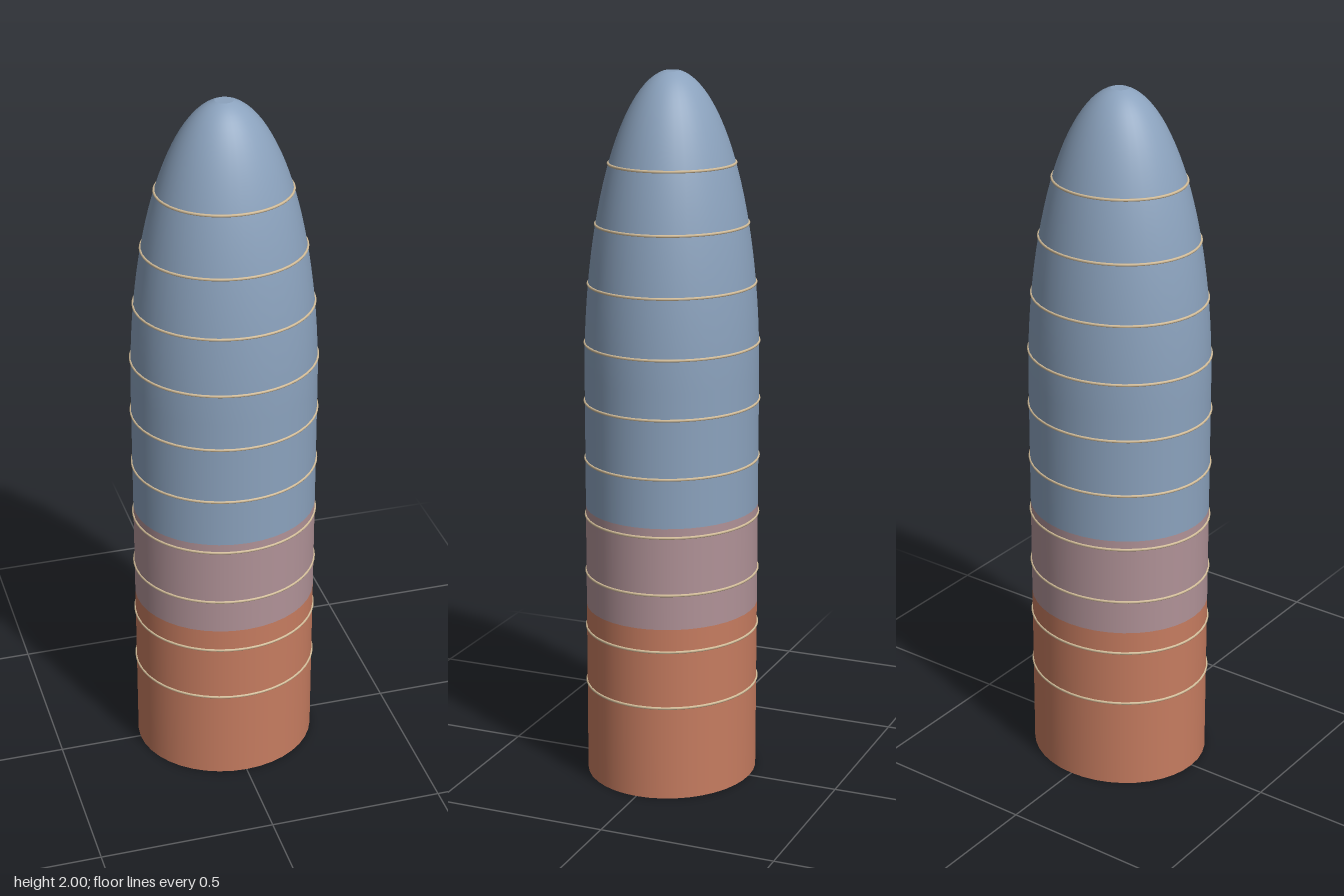
import * as THREE from 'three';

const RADIUS = 0.26;       // half width of the shaft in x
const DEPTH = 0.922;       // z is slightly squashed
const SHOULDER = 1.17;     // height where the nose starts to curve
const NOSE = 0.834;        // height of the full nose ellipse
const SEGMENTS = 40;

// Shell radius at a given height: straight shaft, then an elliptical nose
function radiusAt(y) {
  const t = Math.max(0, (y - SHOULDER) / NOSE);
  return RADIUS * Math.sqrt(Math.max(0, 1 - t * t));
}

export function createModel() {
  const group = new THREE.Group();
  const paint = (name, color) =>
    new THREE.MeshStandardMaterial({ name, color, side: THREE.DoubleSide });
  const terracotta = paint('terracotta', 0xc67c60);
  const mauve = paint('mauve', 0xb09297);
  const slateBlue = paint('slate blue', 0x8ba2bd);
  const sand = paint('sand', 0xd6c09c);

  function add(name, geometry, material) {
    const mesh = new THREE.Mesh(geometry, material);
    mesh.name = name;
    mesh.scale.z = DEPTH;
    group.add(mesh);
    return mesh;
  }

  // Open shell, built as stacked coloured sections
  function section(name, y0, y1, material) {
    const points = [new THREE.Vector2(radiusAt(y0), y0), new THREE.Vector2(radiusAt(y1), y1)];
    add(name, new THREE.LatheGeometry(points, SEGMENTS), material);
  }
  section('lowerSection', 0, 0.5, terracotta);
  section('middleSection', 0.5, 0.79, mauve);

  // Upper shaft and rounded nose
  const profile = [new THREE.Vector2(RADIUS, 0.79)];
  const steps = 28;
  const endAngle = Math.asin((2 - SHOULDER) / NOSE);
  for (let i = 0; i <= steps; i++) {
    const a = (endAngle * i) / steps;
    profile.push(new THREE.Vector2(RADIUS * Math.cos(a), SHOULDER + NOSE * Math.sin(a)));
  }
  add('noseSection', new THREE.LatheGeometry(profile, SEGMENTS), slateBlue);

  // Small flat disc closing the tip
  const tip = new THREE.CircleGeometry(radiusAt(2), SEGMENTS);
  tip.rotateX(-Math.PI / 2);
  add('tipCap', tip, slateBlue).position.y = 2;

  // Thin evenly spaced hoops around the shell
  for (let i = 0; i < 10; i++) {
    const y = 0.27 + i * 0.1647;
    const hoop = new THREE.TorusGeometry(radiusAt(y), 0.004, 6, 64);
    hoop.rotateX(Math.PI / 2);
    add('hoop' + (i + 1), hoop, sand).position.y = y;
  }

  return group;
}
